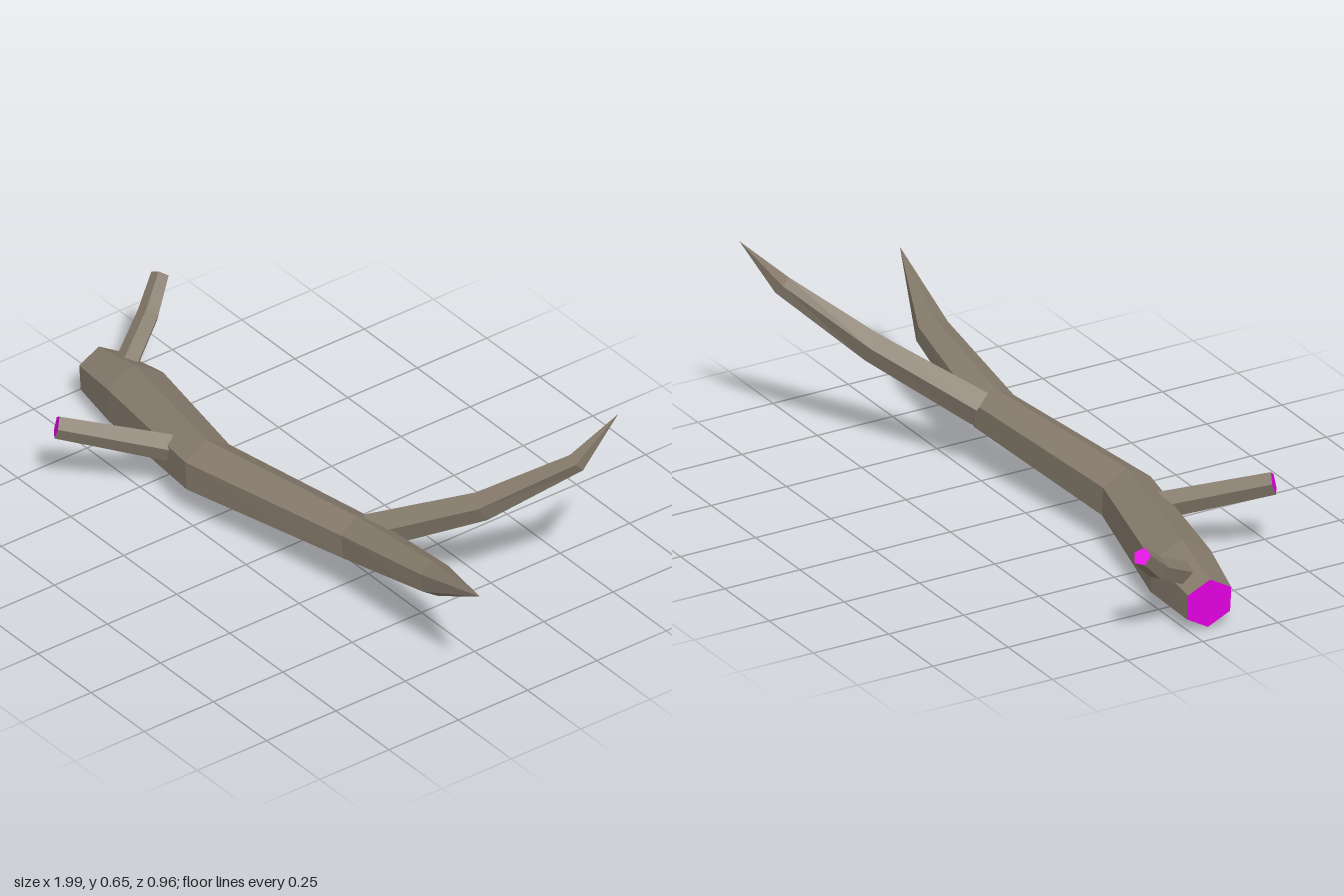
import * as THREE from 'three';

const V = (x, y, z) => new THREE.Vector3(x, y, z);

// Rings of a faceted limb; stations are [x, y, z, radius], radius 0 is a point.
function limbRings(stations, sides) {
  const pts = stations.map(s => V(s[0], s[1], s[2]));
  const last = pts.length - 1;
  return stations.map((s, i) => {
    const t = V(0, 0, 0);
    if (i > 0) t.add(pts[i].clone().sub(pts[i - 1]).normalize());
    if (i < last) t.add(pts[i + 1].clone().sub(pts[i]).normalize());
    t.normalize();
    const up = V(0, 1, 0).addScaledVector(t, -t.y).normalize();
    const side = t.clone().cross(up);
    return Array.from({ length: sides }, (_, j) => {
      const a = (j / sides) * Math.PI * 2;
      return pts[i].clone()
        .addScaledVector(up, Math.cos(a) * s[3])
        .addScaledVector(side, Math.sin(a) * s[3]);
    });
  });
}

function facets(triangles) {
  const geometry = new THREE.BufferGeometry().setFromPoints(triangles);
  geometry.computeVertexNormals();
  return geometry;
}

// Bark skin between the rings
function barkGeometry(rings, stations) {
  const tri = [];
  const n = rings[0].length;
  for (let i = 0; i < rings.length - 1; i++) {
    for (let j = 0; j < n; j++) {
      const k = (j + 1) % n;
      const [a, b, c, d] = [rings[i][j], rings[i][k], rings[i + 1][k], rings[i + 1][j]];
      if (stations[i + 1][3] === 0) tri.push(a, b, d);
      else tri.push(a, b, c, a, c, d);
    }
  }
  return facets(tri);
}

// Flat cut across a ring
function cutGeometry(ring, atStart) {
  const tri = [];
  for (let j = 1; j < ring.length - 1; j++) {
    if (atStart) tri.push(ring[0], ring[j + 1], ring[j]);
    else tri.push(ring[0], ring[j], ring[j + 1]);
  }
  return facets(tri);
}

export function createModel() {
  const bark = new THREE.MeshStandardMaterial({ color: 0x857a6b });
  const cutWood = new THREE.MeshStandardMaterial({ color: 0xff00ff });
  bark.name = 'bark';
  cutWood.name = 'cutWood';

  const limbs = [
    {
      name: 'trunk', sides: 6, cut: 'start',
      stations: [
        [-0.942, 0.09, 0.055, 0.079], [-0.75, 0.11, 0.073, 0.105],
        [-0.3, 0.144, 0.158, 0.09], [0.305, 0.186, 0.075, 0.074],
        [0.7, 0.272, 0.102, 0.053], [1, 0.4, 0.172, 0],
      ],
    },
    {
      name: 'forkedBranch', sides: 5,
      stations: [
        [0.31, 0.203, 0.035, 0.055], [0.565, 0.342, -0.172, 0.046],
        [0.752, 0.512, -0.368, 0.031], [0.8, 0.656, -0.48, 0],
      ],
    },
    {
      name: 'frontTwig', sides: 5, cut: 'end',
      stations: [[-0.432, 0.16, 0.197, 0.042], [-0.615, 0.24, 0.463, 0.035]],
    },
    {
      name: 'backTwig', sides: 5, cut: 'end',
      stations: [
        [-0.85, 0.15, 0.03, 0.036], [-0.922, 0.23, -0.105, 0.034],
        [-0.972, 0.307, -0.186, 0.028],
      ],
    },
  ];

  const model = new THREE.Group();
  model.name = 'fallenBranch';
  for (const { name, sides, cut, stations } of limbs) {
    const limb = new THREE.Group();
    limb.name = name;
    const rings = limbRings(stations, sides);
    const skin = new THREE.Mesh(barkGeometry(rings, stations), bark);
    skin.name = name + 'Bark';
    limb.add(skin);
    if (cut) {
      const atStart = cut === 'start';
      const ring = atStart ? rings[0] : rings[rings.length - 1];
      const cap = new THREE.Mesh(cutGeometry(ring, atStart), cutWood);
      cap.name = name + 'Cut';
      limb.add(cap);
    }
    model.add(limb);
  }
  return model;
}
